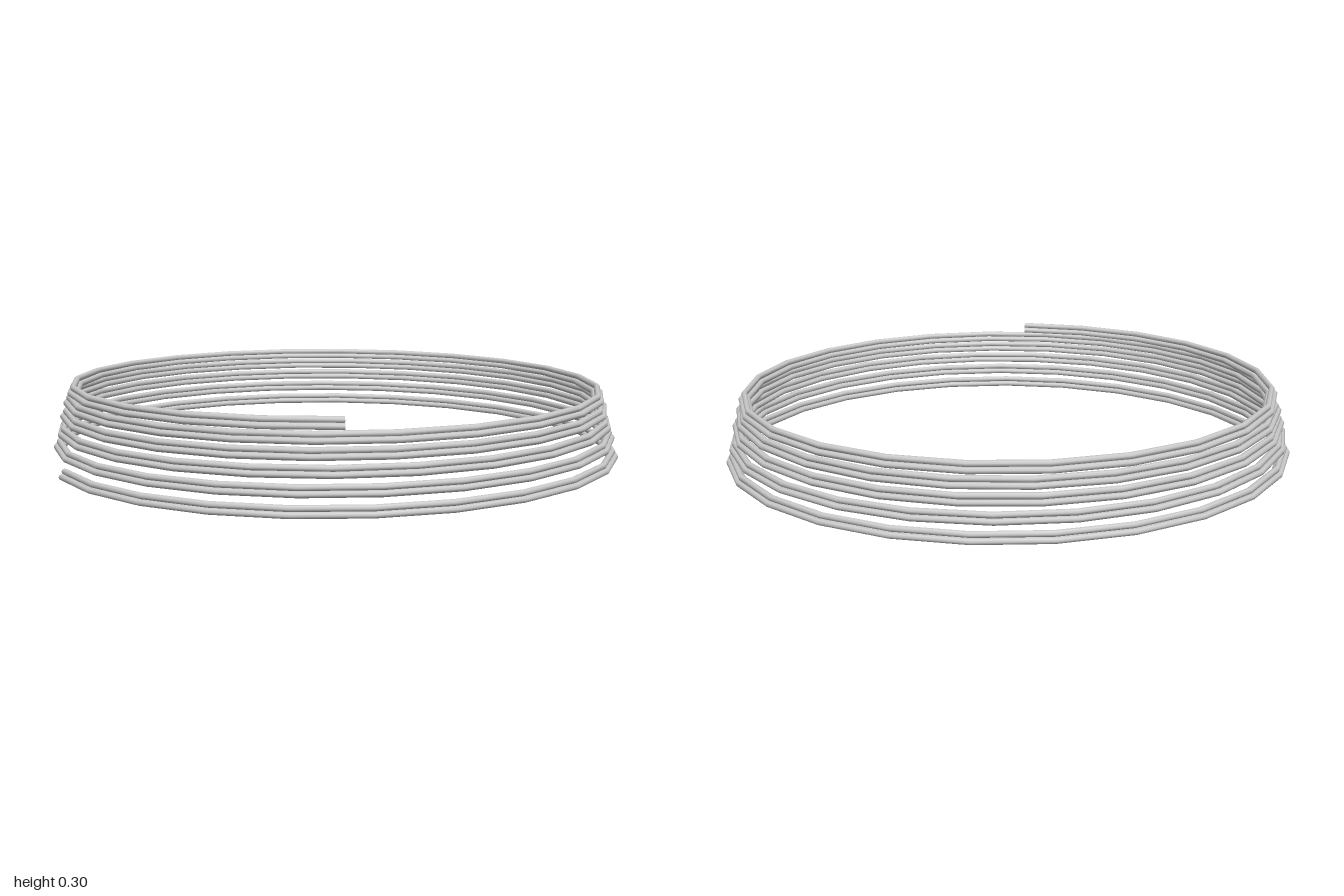
import * as THREE from 'three';

const STRAND = 0.0105;             // radius of one strand
const BUNDLE = STRAND * 2 / Math.sqrt(3); // strand centre to cable centre
const START = 0.09, END = 10 * Math.PI + 1.26; // angles from -x towards +z
const SIDES = 8, SEGMENTS = 126;

// Rising coil that narrows and tightens towards the top, offset within the cable
class StrandCurve extends THREE.Curve {
  constructor(dr, dy) {
    super();
    this.dr = dr;
    this.dy = dy;
    this.arcLengthDivisions = 1000;
  }
  getPoint(t, target = new THREE.Vector3()) {
    const a = THREE.MathUtils.lerp(START, END, t);
    const r = THREE.MathUtils.lerp(0.984, 0.92, t) + this.dr;
    const y = STRAND + BUNDLE / 2 + 0.322 * t - 0.061 * t * t + this.dy;
    return target.set(-r * Math.cos(a), y, r * Math.sin(a));
  }
}

export function createModel() {
  const group = new THREE.Group();
  group.name = 'wireCoil';
  const material = new THREE.MeshStandardMaterial({ color: 0xcccccc });

  // Three touching strands wound together, one above two
  for (let i = 0; i < 3; i++) {
    const phi = Math.PI / 2 + i * Math.PI * 2 / 3;
    const curve = new StrandCurve(BUNDLE * Math.cos(phi), BUNDLE * Math.sin(phi));
    const strand = new THREE.Group();
    strand.name = `strand${i + 1}`;
    const wire = new THREE.Mesh(new THREE.TubeGeometry(curve, SEGMENTS, STRAND, SIDES, false), material);
    wire.name = 'wire';
    strand.add(wire);

    // Flat cut ends
    for (const [name, t, sign] of [['lowerEnd', 0, -1], ['upperEnd', 1, 1]]) {
      const cap = new THREE.Mesh(new THREE.CircleGeometry(STRAND, SIDES), material);
      cap.name = name;
      const p = curve.getPointAt(t);
      cap.position.copy(p);
      cap.lookAt(p.clone().addScaledVector(curve.getTangentAt(t), sign));
      strand.add(cap);
    }
    group.add(strand);
  }
  return group;
}
